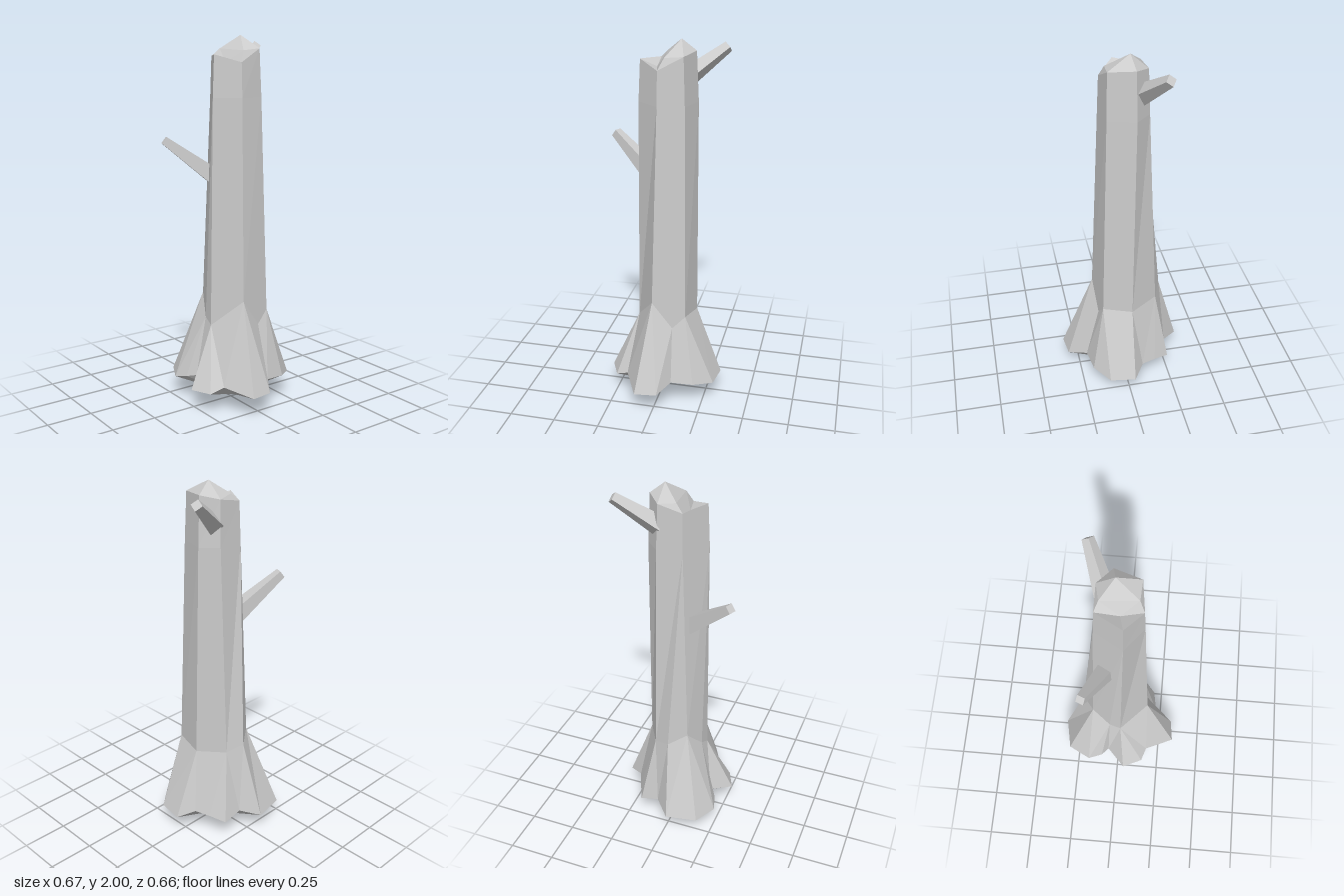
import * as THREE from 'three';

const material = new THREE.MeshStandardMaterial({ color: 0xcccccc, flatShading: true });

// Top rim of the trunk, counter-clockwise from the left-front corner
const rim = [
  [-0.12, 1.89, 0.04], [0.02, 1.9, 0.12], [0.11, 1.86, 0.01],
  [0.09, 1.93, -0.12], [-0.045, 1.94, -0.16], [-0.12, 1.92, -0.09],
];

// Shoulder where the roots meet the trunk: x, y, z, rim corner above
const shoulder = [
  [-0.155, 0.59, 0.08, 0], [-0.055, 0.48, 0.13, 1], [0.01, 0.45, 0.14, 1],
  [0.16, 0.6, 0.03, 2], [0.145, 0.45, -0.08, 3], [0.13, 0.52, -0.15, 3],
  [-0.03, 0.5, -0.185, 4], [-0.18, 0.52, -0.1, 5], [-0.22, 0.55, -0.01, 0],
];

// Outline of the root tips: x, y, z, shoulder corner above
const roots = [
  [-0.305, 0.12, 0.19, 0], [-0.18, 0.12, 0.255, 0], [-0.1, 0.14, 0.23, 1],
  [-0.06, 0.15, 0.19, 1], [0.04, 0.12, 0.29, 2], [0.15, 0.12, 0.24, 2],
  [0.175, 0.15, 0.17, 2], [0.335, 0.12, 0.09, 3], [0.32, 0.12, -0.03, 3],
  [0.22, 0.15, -0.09, 4], [0.2, 0.14, -0.21, 5], [0.12, 0.12, -0.31, 5],
  [-0.02, 0.12, -0.33, 6], [-0.08, 0.15, -0.245, 6], [-0.16, 0.14, -0.21, 7],
  [-0.245, 0.12, -0.17, 7], [-0.25, 0.15, -0.065, 7], [-0.337, 0.12, 0.02, 8],
];

// Flat-shaded mesh from triangles of points; collapsed triangles are dropped
function facetMesh(name, triangles) {
  const solid = triangles.filter(([a, b, c]) => a !== b && b !== c && a !== c);
  const points = solid.flat().flatMap((p) => p.slice(0, 3));
  const geometry = new THREE.BufferGeometry();
  geometry.setAttribute('position', new THREE.Float32BufferAttribute(points, 3));
  geometry.computeVertexNormals();
  const mesh = new THREE.Mesh(geometry, material);
  mesh.name = name;
  return mesh;
}

// Skin between a lower loop and the upper points above each of its corners
function skirt(lower, upper) {
  return lower.flatMap((a, i) => {
    const j = (i + 1) % lower.length;
    return [[a, lower[j], upper[j]], [a, upper[j], upper[i]]];
  });
}

// Four-sided tapering branch stub between two points
function branch(name, from, to, rBottom, rTop, spin) {
  const start = new THREE.Vector3(...from);
  const dir = new THREE.Vector3(...to).sub(start);
  const geometry = new THREE.CylinderGeometry(rTop, rBottom, dir.length(), 4);
  geometry.rotateY(spin);
  const mesh = new THREE.Mesh(geometry, material);
  mesh.name = name;
  mesh.position.copy(start).addScaledVector(dir, 0.5);
  mesh.quaternion.setFromUnitVectors(new THREE.Vector3(0, 1, 0), dir.normalize());
  return mesh;
}

export function createModel() {
  const group = new THREE.Group();
  group.name = 'treeTrunk';

  // Flared roots, closed by a shallow cone underneath
  const apex = [-0.01, 0, -0.03];
  const underside = roots.map((a, i) => [roots[(i + 1) % roots.length], a, apex]);
  group.add(facetMesh('roots', [
    ...skirt(roots, roots.map((p) => shoulder[p[3]])), ...underside,
  ]));

  // Trunk, tapering a little faster above the neck
  const neck = rim.map(([x, , z]) => [x * 1.07, 1.68, z * 1.08]);
  group.add(facetMesh('trunk', [
    ...skirt(shoulder, shoulder.map((p) => neck[p[3]])), ...skirt(neck, rim),
  ]));

  // Broken top: a peak at the back and a notch at the front
  const [t0, t1, t2, t3, t4, t5] = rim;
  const peak = [-0.03, 2, -0.085];
  const notch = [0, 1.86, 0.035];
  const ridgeR = [-0.1, 1.93, 0];
  const ridgeL = [0.085, 1.92, -0.02];
  group.add(facetMesh('brokenTop', [
    [t0, t1, notch], [t1, t2, notch], [t2, ridgeL, notch], [ridgeL, ridgeR, notch],
    [ridgeR, t0, notch], [t2, t3, ridgeL], [ridgeL, peak, ridgeR], [t3, peak, ridgeL],
    [t3, t4, peak], [t4, t5, peak], [t5, ridgeR, peak], [t5, t0, ridgeR],
  ]));

  // Branch stubs
  group.add(branch('frontBranch', [-0.065, 1.26, 0.07], [-0.17, 1.455, 0.31], 0.06, 0.03, 0.4));
  group.add(branch('backBranch', [-0.08, 1.79, -0.1], [-0.175, 1.945, -0.3], 0.055, 0.03, 0.4));

  return group;
}
